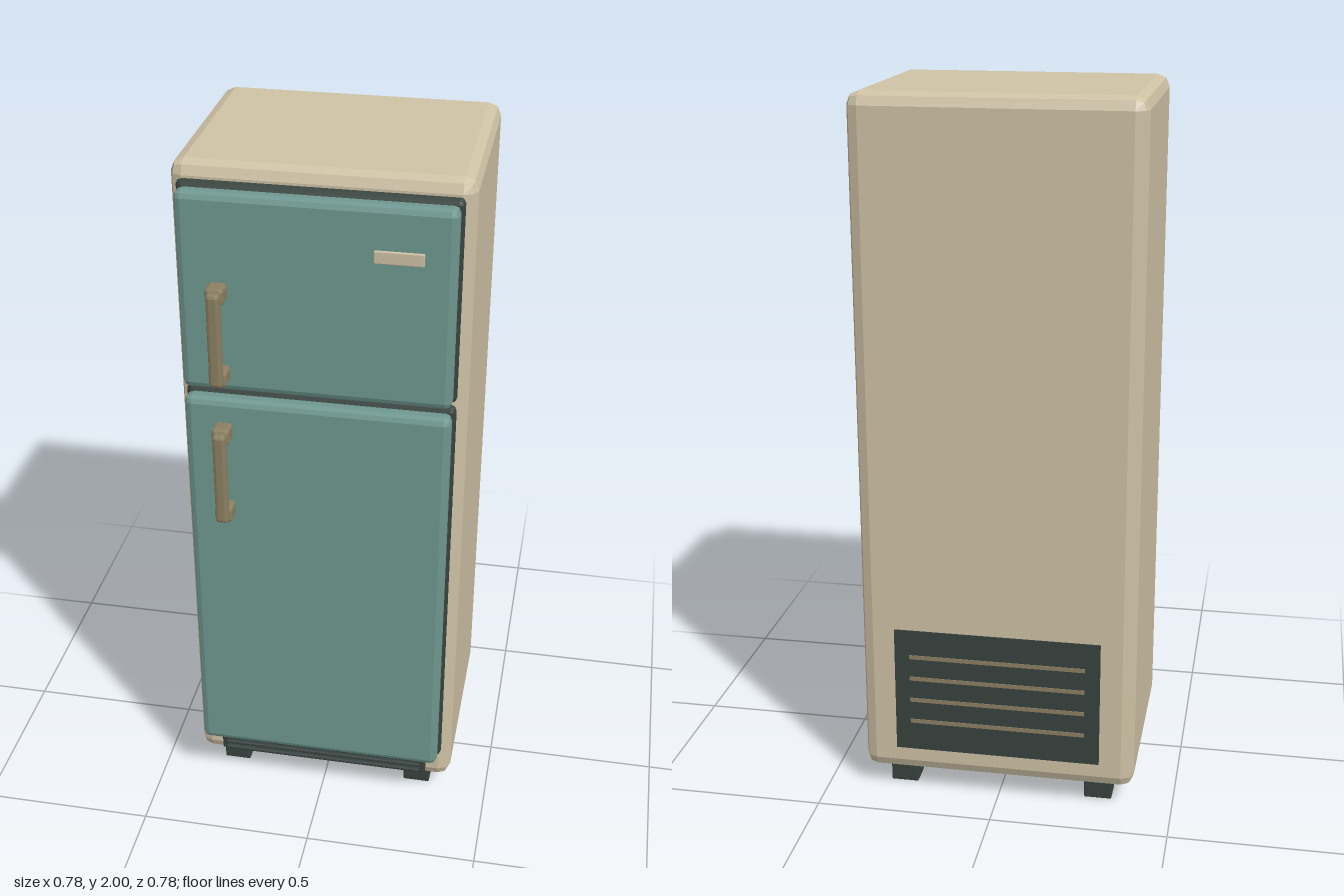
import * as THREE from 'three';

const mat = (color) => new THREE.MeshStandardMaterial({ color, flatShading: true });

// Box from min/max corners; edges rounded with two facets when r > 0
function boxGeometry([x0, x1], [y0, y1], [z0, z1], r) {
  const size = [x1 - x0, y1 - y0, z1 - z0];
  const centre = [(x0 + x1) / 2, (y0 + y1) / 2, (z0 + z1) / 2];
  if (!r) return new THREE.BoxGeometry(...size).translate(...centre);
  const g = new THREE.BoxGeometry(1, 1, 1, 3, 3, 3);
  const p = g.attributes.position;
  const core = new THREE.Vector3(...size).multiplyScalar(0.5).subScalar(r);
  const v = new THREE.Vector3(), dir = new THREE.Vector3();
  const outer = (c) => (Math.abs(c) > 0.3 ? Math.sign(c) : 0);
  for (let i = 0; i < p.count; i++) {
    v.fromBufferAttribute(p, i);
    dir.set(outer(v.x), outer(v.y), outer(v.z)).normalize().multiplyScalar(r);
    v.set(Math.sign(v.x), Math.sign(v.y), Math.sign(v.z)).multiply(core).add(dir);
    p.setXYZ(i, v.x, v.y, v.z);
  }
  g.computeVertexNormals();
  return g.translate(...centre);
}

export function createModel() {
  const model = new THREE.Group();
  model.name = 'refrigerator';
  const cream = mat(0xcfc2a5), teal = mat(0x6f9890), dark = mat(0x38433f), bronze = mat(0x8c8062);

  const add = (name, x, y, z, material, r = 0, parent = model) => {
    const mesh = new THREE.Mesh(boxGeometry(x, y, z, r), material);
    mesh.name = name;
    parent.add(mesh);
  };

  // Cabinet
  add('cabinet', [-0.39, 0.39], [0.065, 2], [-0.385, 0.237], cream, 0.035);

  // Doors with gaskets and handles
  const doors = [
    { name: 'freezer', y: [1.405, 1.955], handle: [1.44, 1.72] },
    { name: 'fridge', y: [0.185, 1.375], handle: [1.02, 1.31] },
  ];
  for (const { name, y: [b, t], handle: [h0, h1] } of doors) {
    add(name + 'Gasket', [-0.364, 0.364], [b - 0.008, t + 0.008], [0.235, 0.268], dark, 0.014);
    add(name + 'Door', [-0.357, 0.357], [b, t], [0.265, 0.32], teal, 0.018);
    const handle = new THREE.Group();
    handle.name = name + 'Handle';
    model.add(handle);
    for (const [side, y] of [['lower', h0], ['upper', h1 - 0.045]])
      add(side + 'Mount', [-0.273, -0.225], [y, y + 0.045], [0.315, 0.369], bronze, 0.009, handle);
    add('grip', [-0.267, -0.231], [h0 + 0.008, h1 - 0.008], [0.36, 0.388], bronze, 0.009, handle);
  }

  // Badge plate on the freezer door
  add('badgePlate', [0.15, 0.277], [1.805, 1.84], [0.318, 0.326], cream, 0.003);

  // Kick grille below the doors
  add('kickGrille', [-0.317, 0.317], [0.087, 0.16], [0.23, 0.25], dark, 0.005);
  for (const y of [0.103, 0.123, 0.143])
    add('kickSlat', [-0.3, 0.3], [y - 0.005, y + 0.005], [0.245, 0.263], dark, 0.003);

  // Rear vent panel with slats
  add('rearVent', [-0.293, 0.293], [0.14, 0.512], [-0.388, -0.38], dark);
  for (const y of [0.23, 0.297, 0.364, 0.431])
    add('rearSlat', [-0.25, 0.25], [y - 0.006, y + 0.006], [-0.39, -0.385], bronze);

  // Feet
  for (const x of [-0.285, 0.285])
    for (const z of [-0.298, 0.158])
      add('foot', [x - 0.04, x + 0.04], [0, 0.07], [z - 0.036, z + 0.036], dark, 0.004);

  return model;
}
